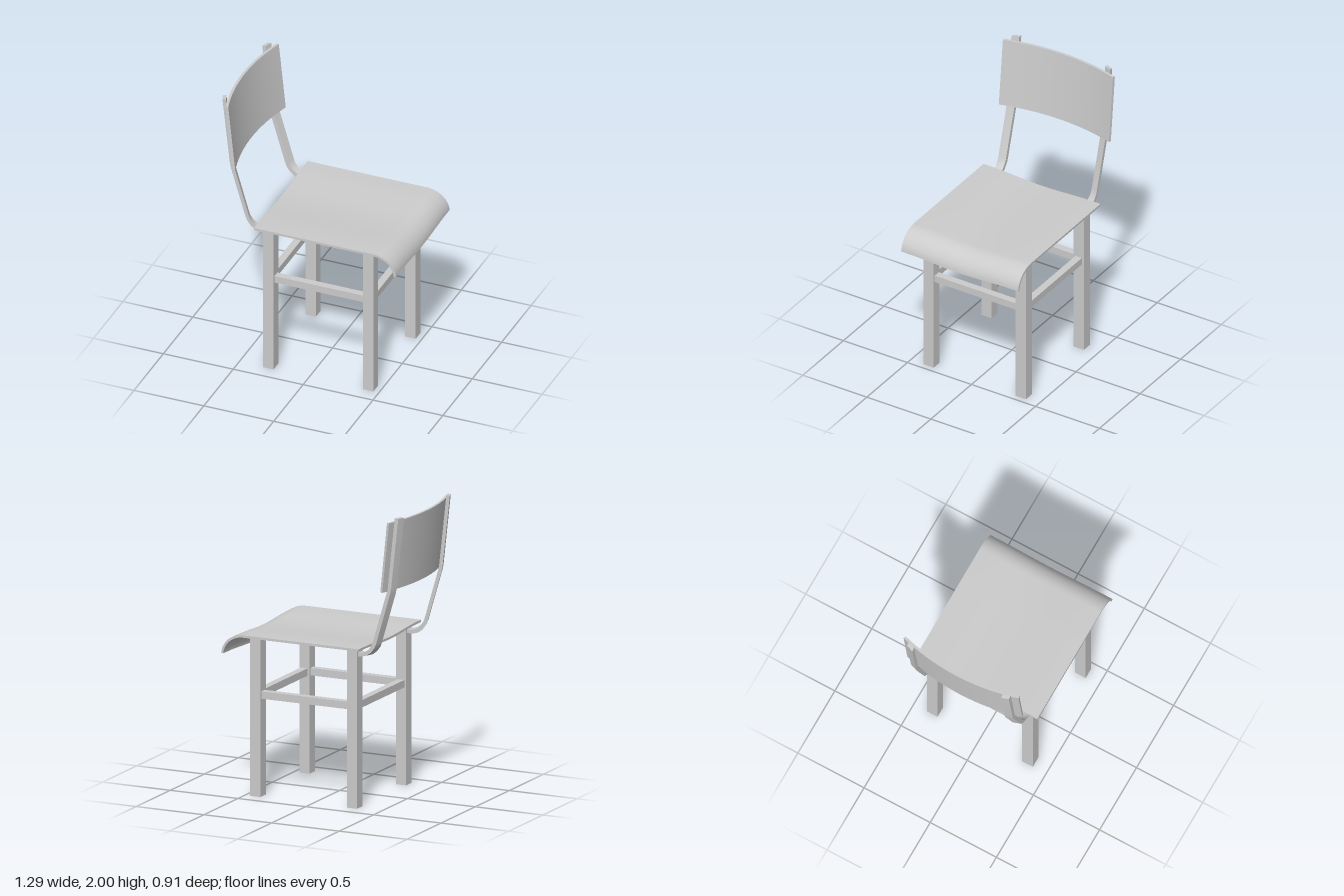
import * as THREE from 'three';
import { toCreasedNormals } from 'three/addons/utils/BufferGeometryUtils.js';

const material = new THREE.MeshStandardMaterial({ color: 0xcccccc });

function addMesh(group, name, geometry, x = 0, y = 0, z = 0) {
  const mesh = new THREE.Mesh(geometry, material);
  mesh.name = name;
  mesh.position.set(x, y, z);
  group.add(mesh);
}

// Closed outline of constant thickness around a centre line of [x, y] points
function ribbon(points, thickness) {
  const p = points.map(([x, y]) => new THREE.Vector2(x, y));
  const left = [], right = [];
  p.forEach((point, i) => {
    const t = p[Math.min(i + 1, p.length - 1)].clone().sub(p[Math.max(i - 1, 0)]).normalize();
    const n = new THREE.Vector2(-t.y, t.x).multiplyScalar(thickness / 2);
    left.push(point.clone().add(n));
    right.push(point.clone().sub(n));
  });
  return new THREE.Shape([...left, ...right.reverse()]);
}

// Extrude an outline, centred on z
function slab(shape, depth, steps = 1) {
  return new THREE.ExtrudeGeometry(shape, { depth, steps, bevelEnabled: false }).translate(0, 0, -depth / 2);
}

// Move every vertex by a rule, then smooth the gentle curves only
function deform(geometry, rule) {
  const pos = geometry.attributes.position;
  const v = new THREE.Vector3();
  for (let i = 0; i < pos.count; i++) {
    rule(v.fromBufferAttribute(pos, i));
    pos.setXYZ(i, v.x, v.y, v.z);
  }
  return toCreasedNormals(geometry, 0.5);
}

export function createModel() {
  const chair = new THREE.Group();
  chair.name = 'chair';

  // Seat: flat sheet with a rolled front lip and a shallow dip across its width
  const seatLine = [[-0.37, 1.0925], [-0.1, 1.0925], [0.2, 1.0925]];
  for (let i = 0; i <= 14; i++) {
    const a = (i / 14) * Math.PI * 0.48;
    seatLine.push([0.485 + 0.153 * Math.sin(a), 0.9545 + 0.138 * Math.cos(a)]);
  }
  const seat = deform(slab(ribbon(seatLine, 0.016), 0.914, 32), (v) => {
    const t = Math.min(Math.abs(v.z) / 0.4, 1);
    v.y -= 0.0075 * (1 + Math.cos(Math.PI * t));
  });
  addMesh(chair, 'seat', seat);

  // Backrest: bowed panel leaning backwards
  const arc = [];
  for (let i = 0; i <= 28; i++) {
    const z = -0.432 + (0.864 * i) / 28;
    arc.push([-0.586 + 0.063 * (z / 0.435) ** 2, z]);
  }
  const panel = slab(ribbon(arc, 0.018), 0.478).rotateX(-Math.PI / 2);
  const backrest = deform(panel, (v) => {
    v.x -= 0.05 * (v.y / 0.478 + 0.5);
    v.y += 1.736;
  });
  addMesh(chair, 'backrest', backrest);

  // Back supports: bent bars, angled to follow the bow of the backrest
  const supportLine = [[-0.31, 1.045], [-0.36, 1.046], [-0.395, 1.056], [-0.425, 1.078], [-0.449, 1.11],
    [-0.46, 1.14], [-0.562, 1.485], [-0.569, 1.52], [-0.622, 2]];
  for (const side of [-1, 1]) {
    const bar = deform(slab(ribbon(supportLine, 0.026), 0.05), (v) => {
      v.x += side * v.z * 0.36;
      v.z += side * 0.36;
    });
    addMesh(chair, side > 0 ? 'leftBackSupport' : 'rightBackSupport', bar);
  }

  // Legs and the rails between them
  const backX = -0.291, frontX = 0.423, legZ = 0.36, railY = 0.69;
  for (const z of [-legZ, legZ]) {
    for (const x of [backX, frontX]) {
      addMesh(chair, x > 0 ? 'frontLeg' : 'backLeg', new THREE.BoxGeometry(0.075, 1.085, 0.08), x, 0.5425, z);
    }
    addMesh(chair, 'sideRail', new THREE.BoxGeometry(0.64, 0.05, 0.05), (backX + frontX) / 2, railY, z);
  }
  for (const x of [backX, frontX]) {
    addMesh(chair, x > 0 ? 'frontRail' : 'backRail', new THREE.BoxGeometry(0.05, 0.05, 0.64), x, railY, 0);
  }
  return chair;
}
